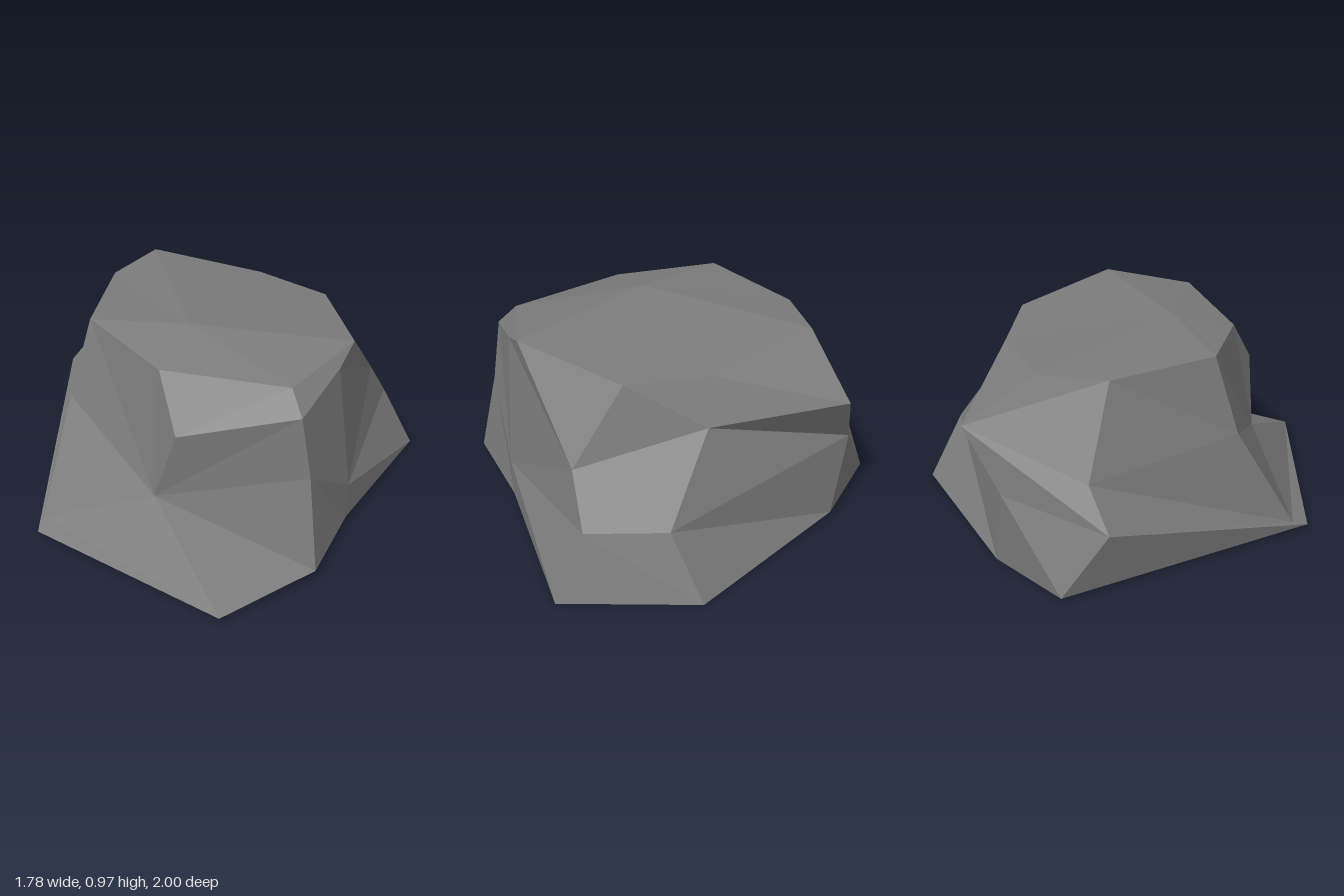
import * as THREE from 'three';

// Corners of the boulder, gathered in rings from the ground up
const rings = {
  // ground outline, starting front right and running round the back
  base: [[0.64, 0.025, 1], [0.89, 0.05, 0.54], [0.85, 0.03, 0.08], [0.89, 0, -0.74],
    [0.28, 0, -1], [-0.55, 0.02, -0.65], [-0.89, 0.025, -0.36], [-0.4, 0.02, 0.88]],
  // low corners of the sides
  low: [[0.14, 0.3, 0.69], [0.81, 0.49, 0.47], [0.85, 0.22, 0.08], [0.73, 0.31, -0.69],
    [0.37, 0.31, -0.83], [-0.64, 0.43, -0.61], [-0.87, 0.33, -0.14], [-0.42, 0.05, 0.8]],
  // shoulder corners under the crown
  mid: [[0.25, 0.65, 0.68], [0.76, 0.79, 0.48], [0.79, 0.88, 0.15], [0.71, 0.53, -0.51],
    [0.11, 0.68, -0.64], [-0.53, 0.73, -0.77], [-0.74, 0.52, -0.22], [-0.43, 0.57, 0.5]],
  // rim of the crown
  top: [[0.1, 0.89, 0.56], [0.68, 0.89, 0.42], [0.79, 0.94, -0.01], [0.45, 0.89, -0.48],
    [0.05, 0.89, -0.56], [-0.5, 0.95, -0.43], [-0.55, 0.935, -0.11], [-0.37, 0.945, 0.39]],
  peak: [[0.08, 0.97, 0.25]],
};
const ringOf = { b: 'base', l: 'low', m: 'mid', t: 'top', p: 'peak' };
const corner = (key) => rings[ringOf[key[0]]][Number(key[1])];

// Each facet lists its corners anticlockwise from outside
const facets = {
  crown: ['p0 t0 t1 t2 t3 t4 t5 t6 t7 t0'],
  frontFace: ['m0 m1 t1 t0', 'l0 l1 m1 m0', 'l0 b0 b1 l1', 'l0 l7 b0', 'l7 b7 b0',
    'l0 m0 t0 t7 m7 l7'],
  rightFace: ['t1 m1 m2 t2', 't2 m2 m3 t3', 'l2 l3 m3 m2 m1 l1', 'l1 b1 b2 l2', 'l2 b2 b3 l3'],
  backFace: ['t3 m3 m4 t4', 't4 m4 m5 t5', 'm3 l3 l4 m4', 'l3 b3 b4 l4', 'm4 l4 l5 m5',
    'l4 b4 b5 l5'],
  leftFace: ['m5 l5 l6 m6 t6 t5', 'l5 b5 b6 l6', 't6 m6 m7 t7', 'm6 l6 l7 m7', 'l6 b6 b7 l7'],
  underside: ['b7 b6 b5 b4 b3 b2 b1 b0'],
};

// Fans each facet out from its first corner
function facetGeometry(list) {
  const positions = [];
  for (const facet of list) {
    const pts = facet.split(' ').map(corner);
    for (let i = 1; i < pts.length - 1; i++) {
      positions.push(...pts[0], ...pts[i], ...pts[i + 1]);
    }
  }
  const geometry = new THREE.BufferGeometry();
  geometry.setAttribute('position', new THREE.Float32BufferAttribute(positions, 3));
  geometry.computeVertexNormals(); // unshared corners give flat facets
  return geometry;
}

export function createModel() {
  const group = new THREE.Group();
  group.name = 'boulder';
  const stone = new THREE.MeshStandardMaterial({ color: 0x7b7b7b });
  stone.name = 'stone grey';
  for (const [name, list] of Object.entries(facets)) {
    const mesh = new THREE.Mesh(facetGeometry(list), stone);
    mesh.name = name;
    group.add(mesh);
  }
  return group;
}
